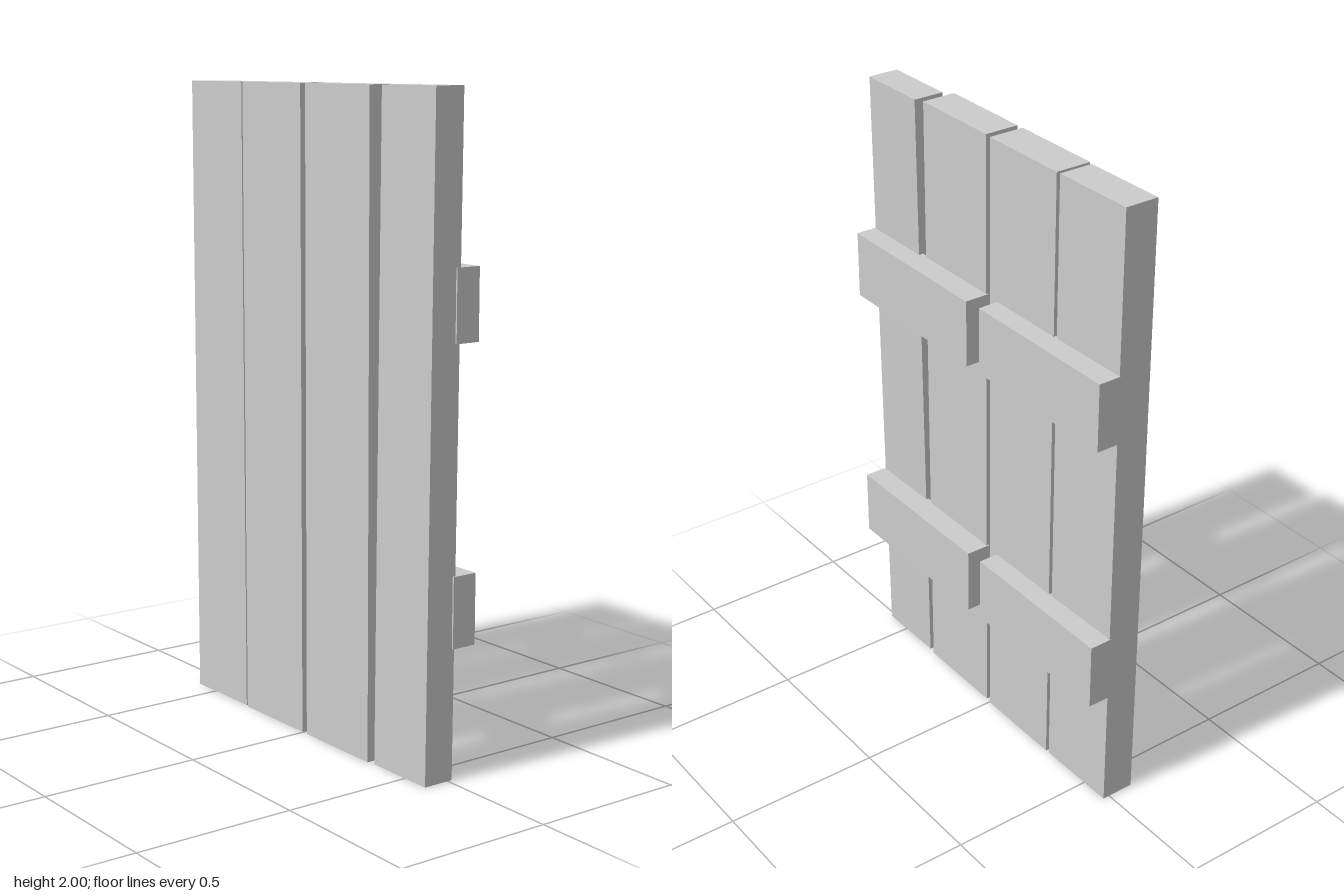
import * as THREE from 'three';

const material = new THREE.MeshStandardMaterial({ color: 0xcccccc, flatShading: true });

// Board spanning the given ranges; lean shifts the top end in z, skew shifts the +x end in z
function board(name, [x0, x1], [y0, y1], [z0, z1], lean = 0, skew = 0) {
  const geometry = new THREE.BoxGeometry(x1 - x0, y1 - y0, z1 - z0);
  const p = geometry.attributes.position;
  for (let i = 0; i < p.count; i++) {
    const shift = (p.getY(i) > 0 ? lean : 0) + (p.getX(i) > 0 ? skew : 0);
    p.setZ(i, p.getZ(i) + shift);
  }
  geometry.computeVertexNormals();
  const mesh = new THREE.Mesh(geometry, material);
  mesh.name = name;
  mesh.position.set((x0 + x1) / 2, (y0 + y1) / 2, (z0 + z1) / 2);
  return mesh;
}

export function createModel() {
  const group = new THREE.Group();
  group.name = 'plankPanel';

  // Upright planks, slightly uneven in width and lean
  const planks = [
    { x: [-0.595, -0.32], z: [-0.022, 0.087], lean: 0.003, skew: -0.002 },
    { x: [-0.307, -0.003], z: [-0.025, 0.09], lean: 0.003, skew: 0.001 },
    { x: [0.02, 0.33], z: [-0.02, 0.091], lean: 0.002, skew: 0.001 },
    { x: [0.355, 0.592], z: [-0.014, 0.086], lean: -0.016, skew: -0.001 },
  ];
  planks.forEach(({ x, z, lean, skew }, i) =>
    group.add(board(`plank${i + 1}`, x, [0, 2], z, lean, skew)));

  // Two rows of split battens across the back
  const rows = { lower: [0.398, 0.613], upper: [1.285, 1.5] };
  for (const [row, y] of Object.entries(rows)) {
    group.add(board(`${row}BattenRight`, [-0.597, -0.04], y, [-0.092, -0.016], 0, 0.003));
    group.add(board(`${row}BattenLeft`, [0.016, 0.597], y, [-0.094, -0.012], 0, 0.002));
  }
  return group;
}
